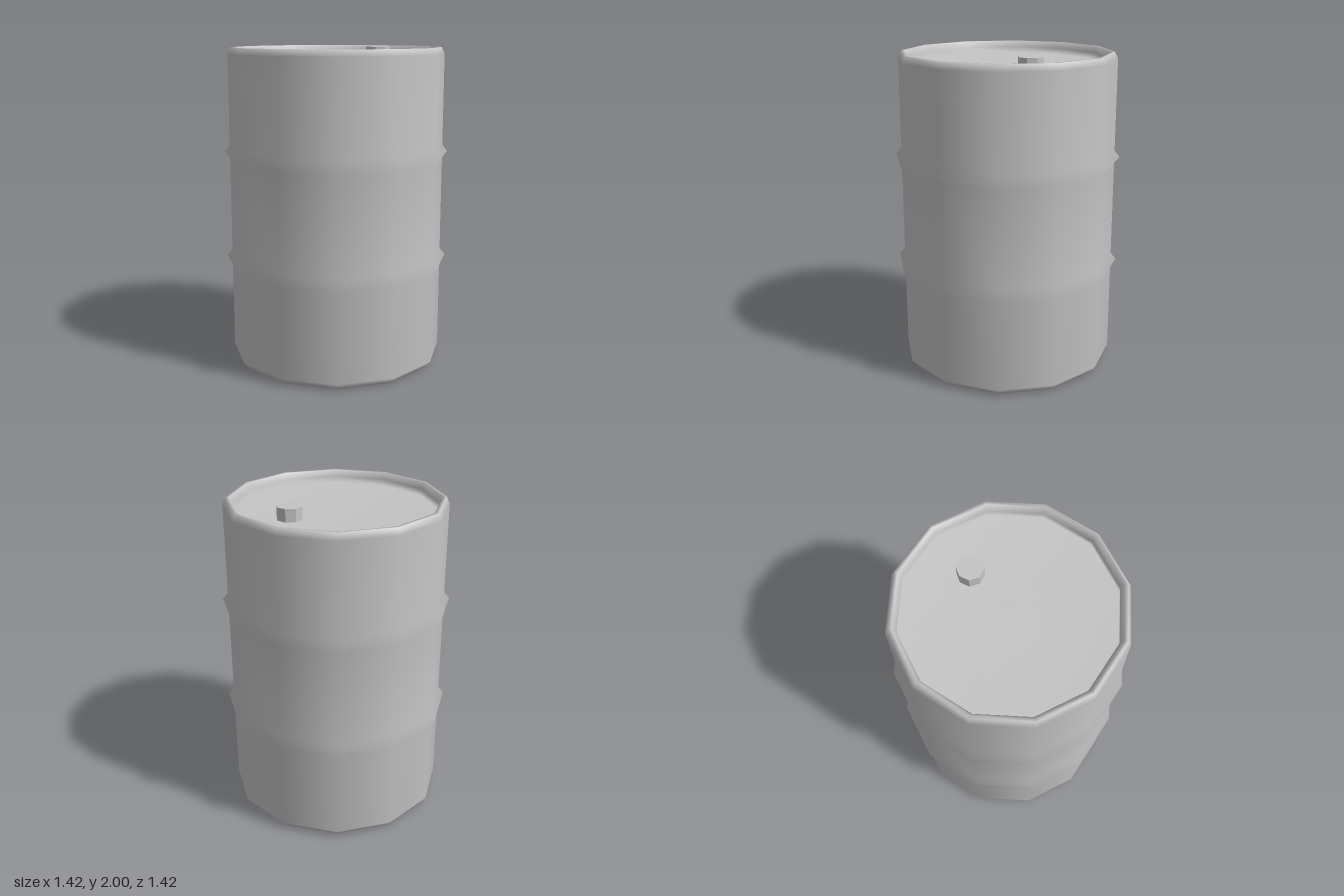
import * as THREE from 'three';

export function createModel() {
  const group = new THREE.Group();
  group.name = 'barrel';
  const metal = new THREE.MeshStandardMaterial({ color: 0xc4c4c4 });
  metal.name = 'grey metal';

  // Twelve-sided drum: chamfered base, two ridges, rounded rim, sunken lid
  const ridge = (y) => [[0.68, y - 0.04], [0.713, y], [0.68, y + 0.04]];
  const profile = [
    [0, 0], [0.64, 0], [0.68, 0.045],
    ...ridge(0.66), ...ridge(1.345),
    [0.68, 1.96], [0.66, 2], [0.64, 2], [0.62, 1.96],
    [0.62, 1.92], [0, 1.92],
  ].map(([r, y]) => new THREE.Vector2(r, y));
  const drum = new THREE.Mesh(
    new THREE.LatheGeometry(profile, 12, THREE.MathUtils.degToRad(-7)), metal);
  drum.name = 'drum';
  group.add(drum);

  // Octagonal filler cap on the lid
  const capGeometry = new THREE.CylinderGeometry(0.079, 0.079, 0.085, 8).toNonIndexed();
  capGeometry.computeVertexNormals();
  capGeometry.rotateY(Math.PI / 8);
  const cap = new THREE.Mesh(capGeometry, metal);
  cap.name = 'fillerCap';
  cap.position.set(0.29, 1.9565, -0.127);
  group.add(cap);

  return group;
}
